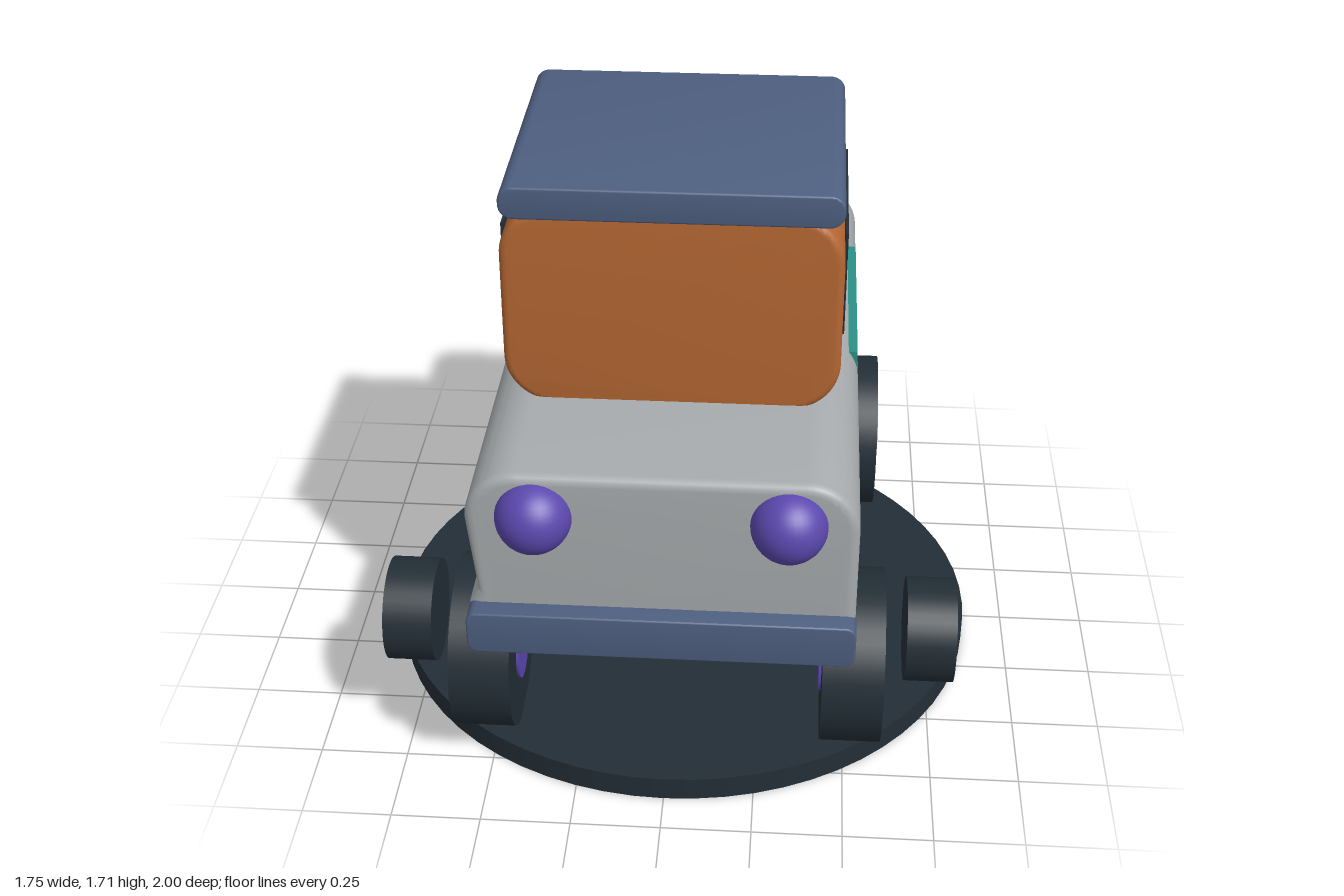
import * as THREE from 'three';
import { toCreasedNormals } from 'three/addons/utils/BufferGeometryUtils.js';

const paint = (name, color) => {
  const m = new THREE.MeshStandardMaterial({ color });
  m.name = name;
  return m;
};

export function createModel() {
  const grey = paint('body grey', 0xa6aaac);
  const orange = paint('cabin orange', 0xb56733);
  const blue = paint('trim blue', 0x4e5f80);
  const dark = paint('rubber dark', 0x232e36);
  const purple = paint('lamp purple', 0x5c48ae);
  const teal = paint('strip teal', 0x2a9086);

  const truck = new THREE.Group();
  truck.name = 'toyTruck';

  const add = (name, geometry, material, x = 0, y = 0, z = 0) => {
    const mesh = new THREE.Mesh(geometry, material);
    mesh.name = name;
    mesh.position.set(x, y, z);
    truck.add(mesh);
    return mesh;
  };

  // Rounded rectangle outline, with an optional crease on the -x side
  const outline = (w, y0, y1, r, crease) => {
    const s = new THREE.Shape();
    s.moveTo(-w + r, y0);
    s.lineTo(w - r, y0);
    s.absarc(w - r, y0 + r, r, -Math.PI / 2, 0);
    s.lineTo(w, y1 - r);
    s.absarc(w - r, y1 - r, r, 0, Math.PI / 2);
    s.lineTo(-w + r, y1);
    s.absarc(-w + r, y1 - r, r, Math.PI / 2, Math.PI);
    if (crease) s.lineTo(-w + crease, y0 + 0.16);
    s.lineTo(-w, y0 + r);
    s.absarc(-w + r, y0 + r, r, Math.PI, Math.PI * 1.5);
    return s;
  };

  // Rounded block running from z0 to z1 with softened ends
  const block = (w, y0, y1, z0, z1, r, b, crease = 0) => {
    const g = new THREE.ExtrudeGeometry(outline(w - b, y0 + b, y1 - b, r - b, crease), {
      depth: z1 - z0 - 2 * b, bevelEnabled: true, bevelSize: b, bevelThickness: b,
      bevelSegments: 4, curveSegments: 10,
    });
    g.translate(0, 0, z0 + b);
    return toCreasedNormals(g, 0.5);
  };

  // Body, cabin, roof and bumper
  add('body', block(0.508, 0.525, 1.085, -0.87, 0.905, 0.14, 0.025, 0.025), grey);
  add('cabin', block(0.448, 1.065, 1.645, -0.265, 0.52, 0.14, 0.02), orange);
  add('roof', block(0.443, 1.615, 1.705, -0.267, 0.523, 0.04, 0.006), blue);
  add('bumper', block(0.51, 0.56, 0.685, 0.845, 0.96, 0.03, 0.005), blue);

  // Exhaust pipe
  add('exhaust', new THREE.CylinderGeometry(0.054, 0.054, 0.17, 24).rotateX(Math.PI / 2),
    dark, 0.305, 0.62, -0.915);

  // Parts mirrored on both sides
  const disc = (r, width) => new THREE.CylinderGeometry(r, r, width, 40).rotateZ(Math.PI / 2);
  for (const [side, s] of [['left', 1], ['right', -1]]) {
    add(side + 'Window', new THREE.BoxGeometry(0.009, 0.3, 0.525), dark, s * 0.4505, 1.4, 0.152);
    add(side + 'Strip', new THREE.BoxGeometry(0.028, 0.045, 0.655), teal, s * 0.49, 1.008, -0.195);
    add(side + 'Headlight', new THREE.SphereGeometry(0.1, 32, 20), purple, s * 0.327, 0.963, 0.9);
    for (const [end, z] of [['Front', 0.58], ['Rear', -0.608]]) {
      add(side + end + 'Wheel', disc(0.246, 0.17), dark, s * 0.515, 0.302, z);
      add(side + end + 'Hub', disc(0.11, 0.184), purple, s * 0.515, 0.302, z);
    }
    add(side + 'SideRoller', disc(0.146, 0.137), dark, s * 0.729, 0.393, 0.572);
  }

  // Oval stand
  const stand = add('stand', new THREE.CylinderGeometry(0.875, 0.875, 0.07, 64), dark, 0, 0.035, 0.022);
  stand.scale.z = 0.985;

  return truck;
}
